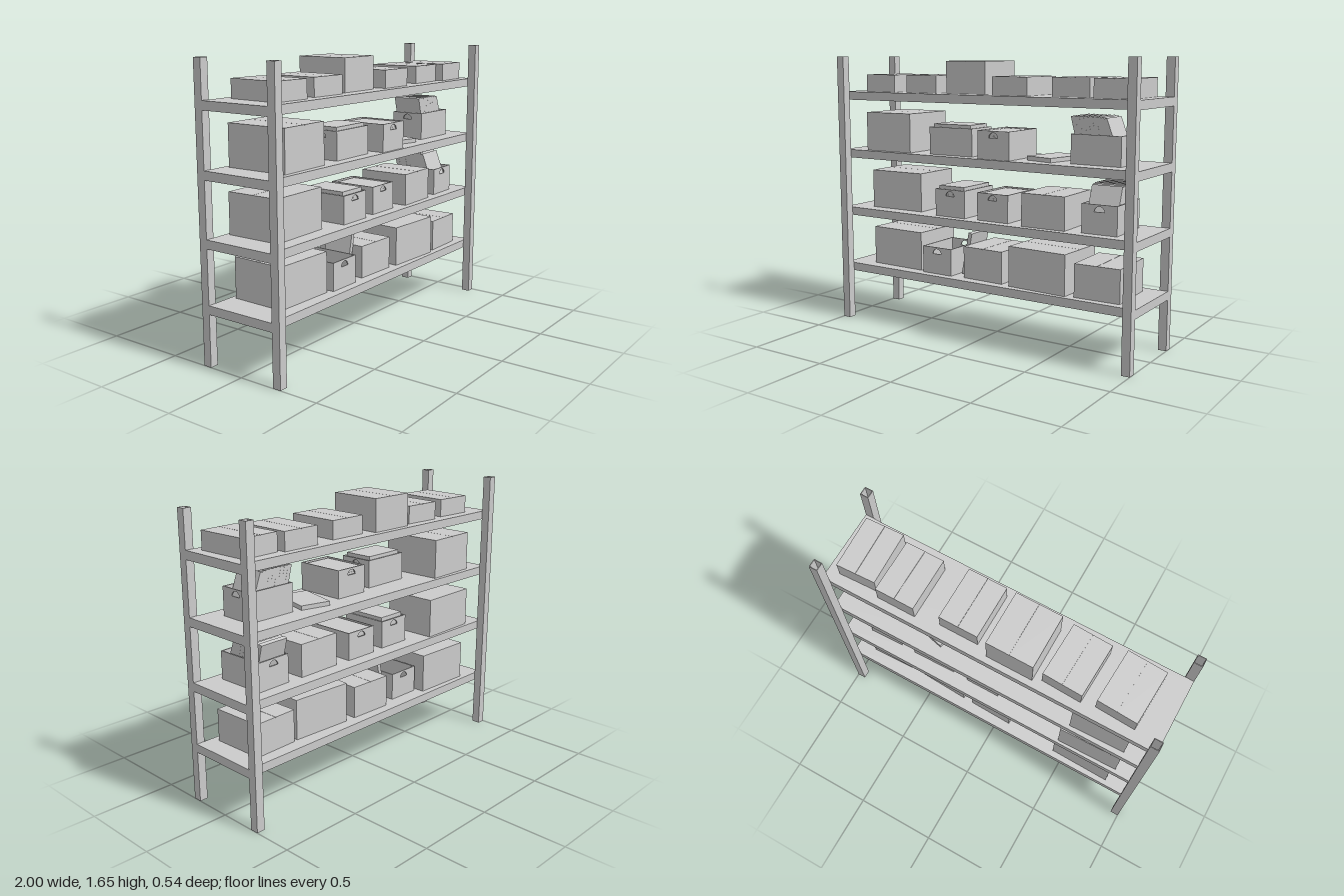
import * as THREE from 'three';

const material = new THREE.MeshStandardMaterial({ color: 0xcccccc, flatShading: true });
const SHELF_TOPS = [0.35, 0.71, 1.075, 1.435];
const SHEET = { length: 0.26, width: 0.18, thick: 0.0245 };

function addMesh(parent, name, geometry, x = 0, y = 0, z = 0) {
  const mesh = new THREE.Mesh(geometry, material);
  mesh.name = name;
  mesh.position.set(x, y, z);
  parent.add(mesh);
  return mesh;
}

function addBox(parent, name, w, h, d, x = 0, y = 0, z = 0) {
  return addMesh(parent, name, new THREE.BoxGeometry(w, h, d), x, y, z);
}

function addGroup(parent, name, x, y, z, yaw = 0) {
  const group = new THREE.Group();
  group.name = name;
  group.position.set(x, y, z);
  group.rotation.y = yaw;
  parent.add(group);
  return group;
}

// Hollow square upright, open at both ends
function postGeometry(size, wall, height) {
  const square = (Type, r) => new Type([[-r, -r], [r, -r], [r, r], [-r, r]].map(([x, y]) => new THREE.Vector2(x, y)));
  const shape = square(THREE.Shape, size / 2);
  shape.holes.push(square(THREE.Path, size / 2 - wall));
  return new THREE.ExtrudeGeometry(shape, { depth: height, bevelEnabled: false }).rotateX(-Math.PI / 2);
}

// Closed carton: body with two top flaps meeting at a narrow seam
const CARTONS = {
  small: { w: 0.23, h: 0.105, d: 0.317 },
  medium: { w: 0.272, h: 0.19, d: 0.318 },
  large: { w: 0.375, h: 0.235, d: 0.33, seamAlongX: true },
};

function addCarton(parent, kind, x, y, z, yaw) {
  const { w, h, d, seamAlongX } = CARTONS[kind];
  const flap = 0.004, gap = 0.002;
  const carton = addGroup(parent, kind + 'Carton', x, y, z, yaw);
  addBox(carton, 'cartonBody', w, h - flap, d, 0, (h - flap) / 2);
  for (const s of [-1, 1]) {
    if (seamAlongX) addBox(carton, 'topFlap', w, flap, (d - gap) / 2, 0, h - flap / 2, s * (d + gap) / 4);
    else addBox(carton, 'topFlap', (w - gap) / 2, flap, d, s * (w + gap) / 4, h - flap / 2);
  }
}

// End panel of an open box with a half-moon hand hole
function endPanelGeometry(w, h, t) {
  const shape = new THREE.Shape();
  shape.moveTo(-w / 2, 0).lineTo(w / 2, 0).lineTo(w / 2, h).lineTo(-w / 2, h).closePath();
  const hole = new THREE.Path();
  hole.absarc(0, h - 0.04, 0.03, 0, Math.PI, false);
  hole.closePath();
  shape.holes.push(hole);
  return new THREE.ExtrudeGeometry(shape, { depth: t, bevelEnabled: false, curveSegments: 10 })
    .translate(0, 0, -t / 2).rotateY(Math.PI / 2);
}

// Bundle standing on edge, its foot at (x, y), leaning towards -x
function addLeaningBundle(parent, x, y, tilt) {
  const geometry = new THREE.BoxGeometry(SHEET.thick, SHEET.length, SHEET.width).translate(0, SHEET.length / 2, 0);
  addMesh(parent, 'leaningBundle', geometry, x, y, 0).rotation.z = tilt;
}

// Open file box, long along x; layers of flat bundles or a leaning row
function addFileBox(parent, x, y, z, yaw, layers, leaning = false) {
  const L = 0.3, W = 0.21, H = 0.163, t = 0.007;
  const box = addGroup(parent, 'fileBox', x, y, z, yaw);
  addBox(box, 'boxFloor', L - 2 * t, t, W - 2 * t, 0, t / 2);
  for (const s of [-1, 1]) {
    addBox(box, 'sideWall', L - 2 * t, H, t, 0, H / 2, s * (W - t) / 2);
    addMesh(box, 'endWallWithHandle', endPanelGeometry(W, H, t), s * (L - t) / 2);
  }
  for (let i = 0; i < layers; i++) {
    addBox(box, 'flatBundle', SHEET.length, SHEET.thick, SHEET.width, 0, t + (i + 0.5) * 0.025);
  }
  if (leaning) {
    for (let i = 0; i < 7; i++) addLeaningBundle(box, -0.084 + i * 0.0255, t, 0.25);
    addLeaningBundle(box, 0.102, t, 0.3);
    addLeaningBundle(box, 0.135, t, 0.36);
  }
}

export function createModel() {
  const model = new THREE.Group();
  model.name = 'storageRack';

  // Frame
  const frame = addGroup(model, 'frame', 0, 0, 0);
  const post = postGeometry(0.05, 0.004, 1.65);
  for (const x of [-0.975, 0.975]) {
    for (const z of [-0.245, 0.245]) addMesh(frame, 'cornerPost', post, x, 0, z);
  }
  for (const top of SHELF_TOPS) addBox(frame, 'shelfBoard', 2, 0.05, 0.44, 0, top - 0.025);

  // Closed cartons: kind, shelf index, x, z, yaw
  const cartons = [
    ['large', 0, -0.643, -0.02, -0.02], ['medium', 0, 0.005, 0.0, -0.03],
    ['large', 0, 0.388, 0.02, -0.05], ['medium', 0, 0.747, 0.015, 0.03],
    ['large', 1, -0.662, -0.035, 0.02], ['medium', 1, 0.412, 0.02, 0.02],
    ['large', 2, -0.681, -0.005, Math.PI / 2 + 0.03],
    ['small', 3, -0.74, 0.002, -0.05], ['small', 3, -0.433, -0.005, -0.04],
    ['medium', 3, -0.132, -0.025, 0], ['small', 3, 0.19, 0.009, 0],
    ['small', 3, 0.56, -0.017, 0], ['small', 3, 0.82, 0.007, 0.04],
  ];
  for (const [kind, shelf, x, z, yaw] of cartons) addCarton(model, kind, x, SHELF_TOPS[shelf], z, yaw);

  // Open file boxes: shelf index, x, z, yaw, flat layers, leaning row
  const turn = -Math.PI / 2;
  const fileBoxes = [
    [0, -0.323, 0.02, turn, 0],
    [1, -0.223, 0.02, turn, 7], [1, 0.071, 0.01, turn, 6], [1, 0.747, 0.008, turn + 0.03, 0, true],
    [2, -0.228, 0.05, 0.02, 7], [2, 0.106, 0.055, turn, 6], [2, 0.703, 0.013, 0, 0, true],
  ];
  for (const [shelf, x, z, yaw, layers, leaning] of fileBoxes) {
    addFileBox(model, x, SHELF_TOPS[shelf], z, yaw, layers, leaning);
  }

  // Loose bundles: one lying on a shelf, one propped against a carton
  const loose = addBox(model, 'looseBundle', SHEET.width, SHEET.thick, SHEET.length, 0.387, SHELF_TOPS[2] + 0.0125, 0);
  loose.rotation.y = -0.24;
  addLeaningBundle(model, -0.185, SHELF_TOPS[0] + 0.003, -0.2);

  return model;
}
